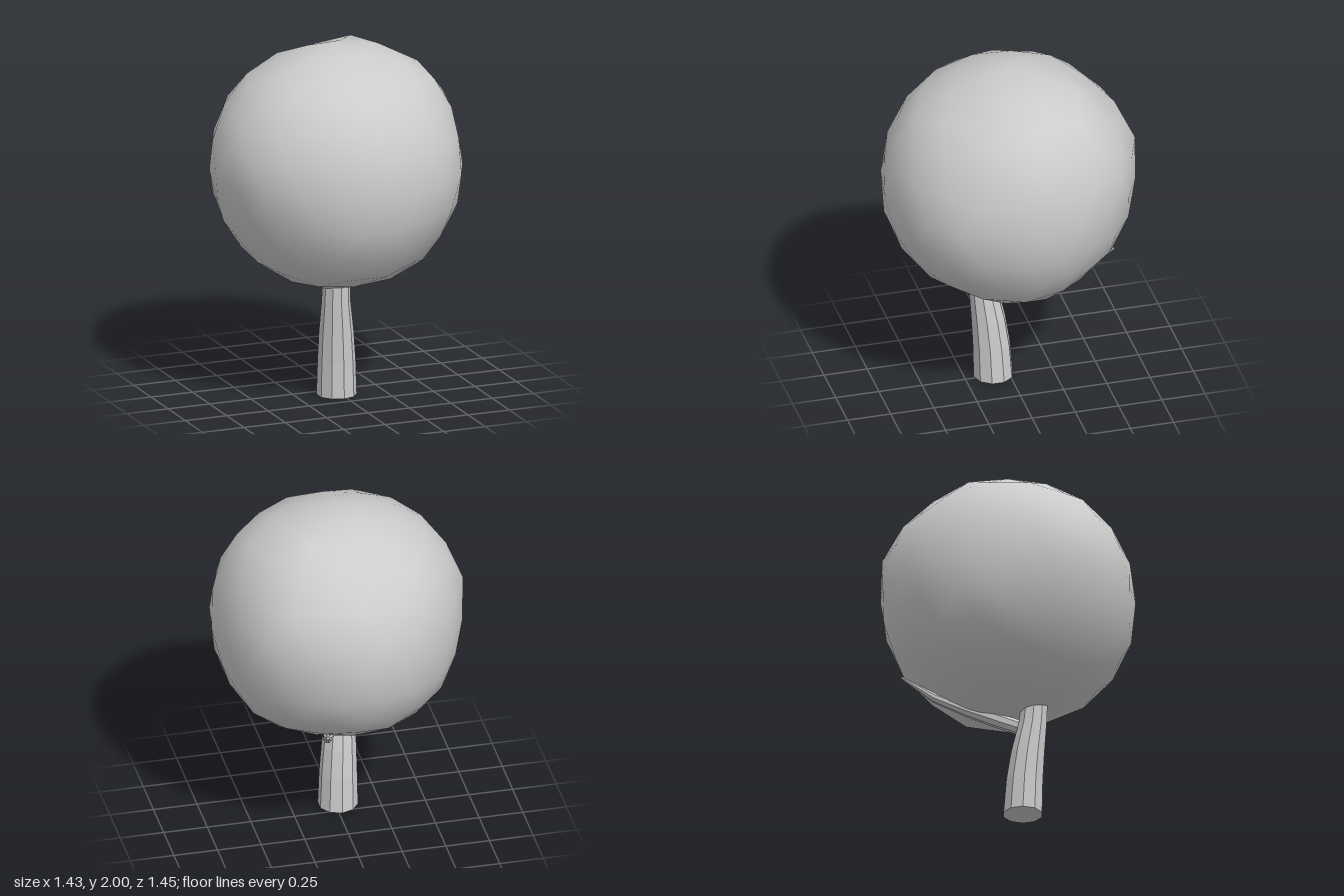
import * as THREE from 'three';
import { mergeVertices } from 'three/addons/utils/BufferGeometryUtils.js';

const V = (x, y, z) => new THREE.Vector3(x, y, z);

// Bends and tapers a unit cylinder along a path; rings stay square to one axis.
function limb(name, points, radii, sides, axis) {
  const rows = points.length - 1;
  const geo = new THREE.CylinderGeometry(1, 1, 1, sides, rows);
  const curve = new THREE.CatmullRomCurve3(points);
  const turn = new THREE.Quaternion().setFromUnitVectors(V(0, 1, 0), axis.clone().normalize());
  const pos = geo.attributes.position;
  const v = V(0, 0, 0);
  for (let i = 0; i < pos.count; i++) {
    v.fromBufferAttribute(pos, i);
    const t = v.y + 0.5;
    const r = radii[Math.round(t * rows)];
    v.set(v.x * r, 0, v.z * r).applyQuaternion(turn).add(curve.getPoint(t));
    pos.setXYZ(i, v.x, v.y, v.z);
  }
  geo.computeVertexNormals();
  const mesh = new THREE.Mesh(geo, new THREE.MeshStandardMaterial({ color: 0xcccccc, flatShading: true }));
  mesh.name = name;
  return mesh;
}

// Rounded crown: a coarse sphere drawn towards a few guide points around its centre
function crown() {
  const guides = [
    // top, with one knob at the back left
    [0.02, 0.7, 0], [0.36, 0.64, -0.28], [-0.25, 0.63, 0], [0, 0.61, 0.27], [0.2, 0.66, 0],
    // upper sides
    [0.54, 0.54, 0], [0.62, 0.43, 0], [-0.44, 0.56, 0], [-0.58, 0.43, 0], [0, 0.48, 0.53],
    [0.04, 0.44, -0.58], [0.03, 0.5, -0.46], [0.52, 0.2, -0.52],
    // middle
    [0.72, 0.12, 0], [0.67, 0, 0.27], [0.53, 0, 0.52], [0.3, 0, 0.66], [0.02, 0.05, 0.72],
    [-0.3, 0, 0.65], [-0.52, 0.1, 0.51], [-0.68, 0.05, 0.26], [-0.72, 0.13, -0.03], [-0.62, 0, -0.3],
    [-0.46, 0, -0.52], [-0.23, 0, -0.68], [0.03, 0.15, -0.73], [0.29, 0, -0.64], [0.67, 0, -0.25],
    // lower sides
    [0.66, -0.3, 0], [0.51, -0.54, 0], [0, -0.28, 0.68], [0, -0.5, 0.53], [0, -0.28, -0.67],
    [-0.67, -0.13, 0], [-0.6, -0.3, 0], [-0.47, -0.5, 0], [-0.49, -0.12, 0.48],
    // underside
    [0.41, -0.61, 0], [0.14, -0.69, 0], [0, -0.7, -0.03], [-0.2, -0.65, 0], [0, -0.65, 0.2],
    [0.05, -0.58, -0.36], [0.13, -0.58, -0.36],
  ].map((p) => {
    const dir = V(...p);
    const r = dir.length();
    return { dir: dir.normalize(), r };
  });

  let geo = new THREE.IcosahedronGeometry(1, 3);
  geo.deleteAttribute('normal');
  geo.deleteAttribute('uv');
  geo = mergeVertices(geo, 1e-4);
  geo.rotateX(-1.0172); // one corner straight up
  const pos = geo.attributes.position;
  const v = V(0, 0, 0);
  for (let i = 0; i < pos.count; i++) {
    v.fromBufferAttribute(pos, i).normalize();
    let weight = 0.15;
    let sum = weight * 0.715;
    for (const g of guides) {
      const w = Math.exp((v.dot(g.dir) - 1) * 40);
      weight += w;
      sum += w * g.r;
    }
    v.multiplyScalar(sum / weight);
    pos.setXYZ(i, v.x, v.y + 1.3, v.z);
  }
  geo.computeVertexNormals();
  const mesh = new THREE.Mesh(geo, new THREE.MeshStandardMaterial({ color: 0xcccccc }));
  mesh.name = 'crown';
  return mesh;
}

export function createModel() {
  const tree = new THREE.Group();
  tree.name = 'tree';

  // Leaning trunk, its top hidden in the crown
  const trunk = limb('trunk',
    [V(-0.018, 0, 0.085), V(-0.022, 0.2, 0.094), V(-0.03, 0.37, 0.11), V(-0.042, 0.55, 0.135), V(-0.045, 0.75, 0.15)],
    [0.113, 0.107, 0.098, 0.082, 0.075], 10, V(0, 1, 0));

  // Thin branch sweeping back and up beneath the crown
  const branch = limb('branch',
    [V(-0.01, 0.53, 0.1), V(0.045, 0.59, -0.05), V(0.1, 0.65, -0.2), V(0.15, 0.725, -0.38), V(0.19, 0.84, -0.56)],
    [0.042, 0.042, 0.036, 0.026, 0.008], 8, V(0.2, 0.3, -0.66));

  tree.add(trunk, branch, crown());
  return tree;
}
